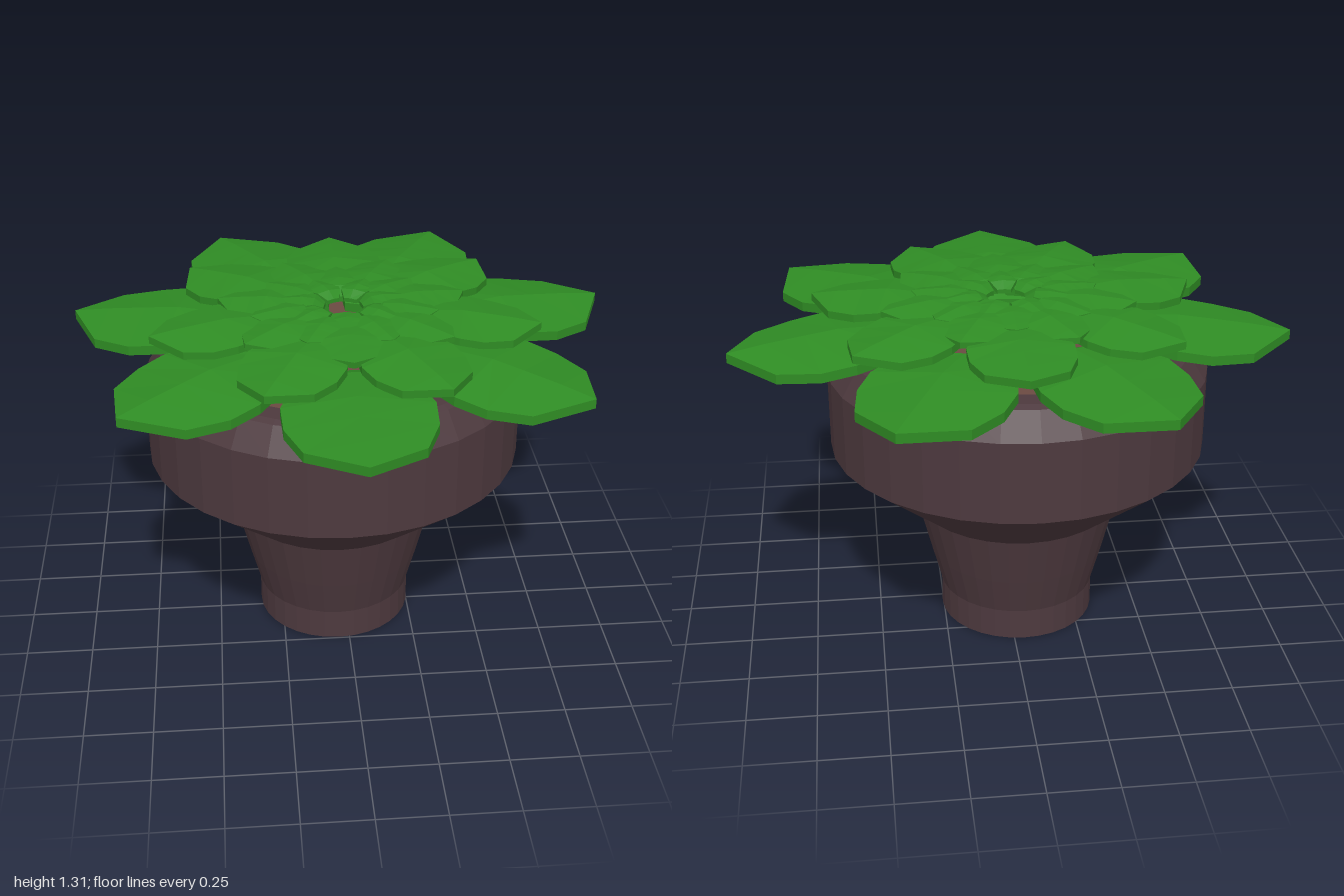
import * as THREE from 'three';

const potMaterial = new THREE.MeshStandardMaterial({ color: 0x4d393e, flatShading: true });
const soilMaterial = new THREE.MeshStandardMaterial({ color: 0x6b4a42, flatShading: true });
const leafMaterial = new THREE.MeshStandardMaterial({ color: 0x2f8c24, flatShading: true });

// Leaf outline along its length: [distance, half width, ridge height, edge drop], for unit length
const LEAF = [
  [0.28, 0.10, -0.035, 0.005],
  [0.42, 0.19, 0.03, 0.015],
  [0.61, 0.255, 0.04, 0.035],
  [0.73, 0.25, 0.03, 0.04],
  [0.87, 0.195, 0.017, 0.033],
  [1.00, 0.0, 0.0, 0.0],
];

// A thick, ridged leaf pointing along +z, its tip at height 0
function leafGeometry(length, thickness, lift) {
  const points = [];
  const index = [];
  for (const [d, w, h, drop] of LEAF) {
    const z = d * length, x = w * length, y = h * lift, e = y - drop * lift;
    points.push(
      -x, e - thickness, z, 0, y - thickness, z, x, e - thickness, z,
      x, e, z, 0, y, z, -x, e, z,
    );
  }
  for (let i = 0; i < LEAF.length - 1; i++) {
    for (let j = 0; j < 6; j++) {
      const a = i * 6 + j, b = i * 6 + (j + 1) % 6;
      index.push(a, b, b + 6, a, b + 6, a + 6);
    }
  }
  // Cap at the stem end
  index.push(0, 5, 4, 0, 4, 1, 1, 4, 3, 1, 3, 2);
  const geometry = new THREE.BufferGeometry();
  geometry.setAttribute('position', new THREE.Float32BufferAttribute(points, 3));
  geometry.setIndex(index);
  const flat = geometry.toNonIndexed();
  flat.computeVertexNormals();
  return flat;
}

export function createModel() {
  const model = new THREE.Group();

  // Pot with a narrow foot, wide bowl and recessed rim
  const profile = [
    [0, 0], [0.295, 0], [0.295, 0.12], [0.335, 0.27], [0.385, 0.47], [0.7, 0.73],
    [0.7, 1.03], [0.64, 1.125], [0.615, 1.135], [0.54, 1.135], [0.52, 1.09],
  ].map(([r, y]) => new THREE.Vector2(r, y));
  const pot = new THREE.Mesh(new THREE.LatheGeometry(profile, 32), potMaterial);
  pot.name = 'pot';
  pot.position.set(-0.04, 0, -0.05);
  model.add(pot);

  // Soil inside the rim
  const soil = new THREE.Mesh(new THREE.CircleGeometry(0.54, 32), soilMaterial);
  soil.name = 'soil';
  soil.rotation.x = -Math.PI / 2;
  soil.position.set(-0.04, 1.1, -0.05);
  model.add(soil);

  // Rosette: rings of seven leaves, each ring turned half a step from the last
  const rosette = new THREE.Group();
  rosette.name = 'rosette';
  rosette.position.z = -0.05;
  const rings = [
    { length: 1.022, tip: 1.2, thickness: 0.035, lift: 1 },
    { length: 0.722, tip: 1.265, thickness: 0.028, lift: 0.75 },
    { length: 0.47, tip: 1.285, thickness: 0.022, lift: 0.5 },
    { length: 0.35, tip: 1.292, thickness: 0.018, lift: 0.4 },
    { length: 0.25, tip: 1.297, thickness: 0.015, lift: 0.35 },
  ];
  const step = (Math.PI * 2) / 7;
  rings.forEach(({ length, tip, thickness, lift }, k) => {
    const ring = new THREE.Group();
    ring.name = `leafRing${k + 1}`;
    const geometry = leafGeometry(length, thickness, lift);
    for (let i = 0; i < 7; i++) {
      const leaf = new THREE.Mesh(geometry, leafMaterial);
      leaf.name = 'leaf';
      leaf.position.y = tip;
      leaf.rotation.y = (i + (k % 2) / 2) * step;
      ring.add(leaf);
    }
    rosette.add(ring);
  });
  model.add(rosette);

  return model;
}
